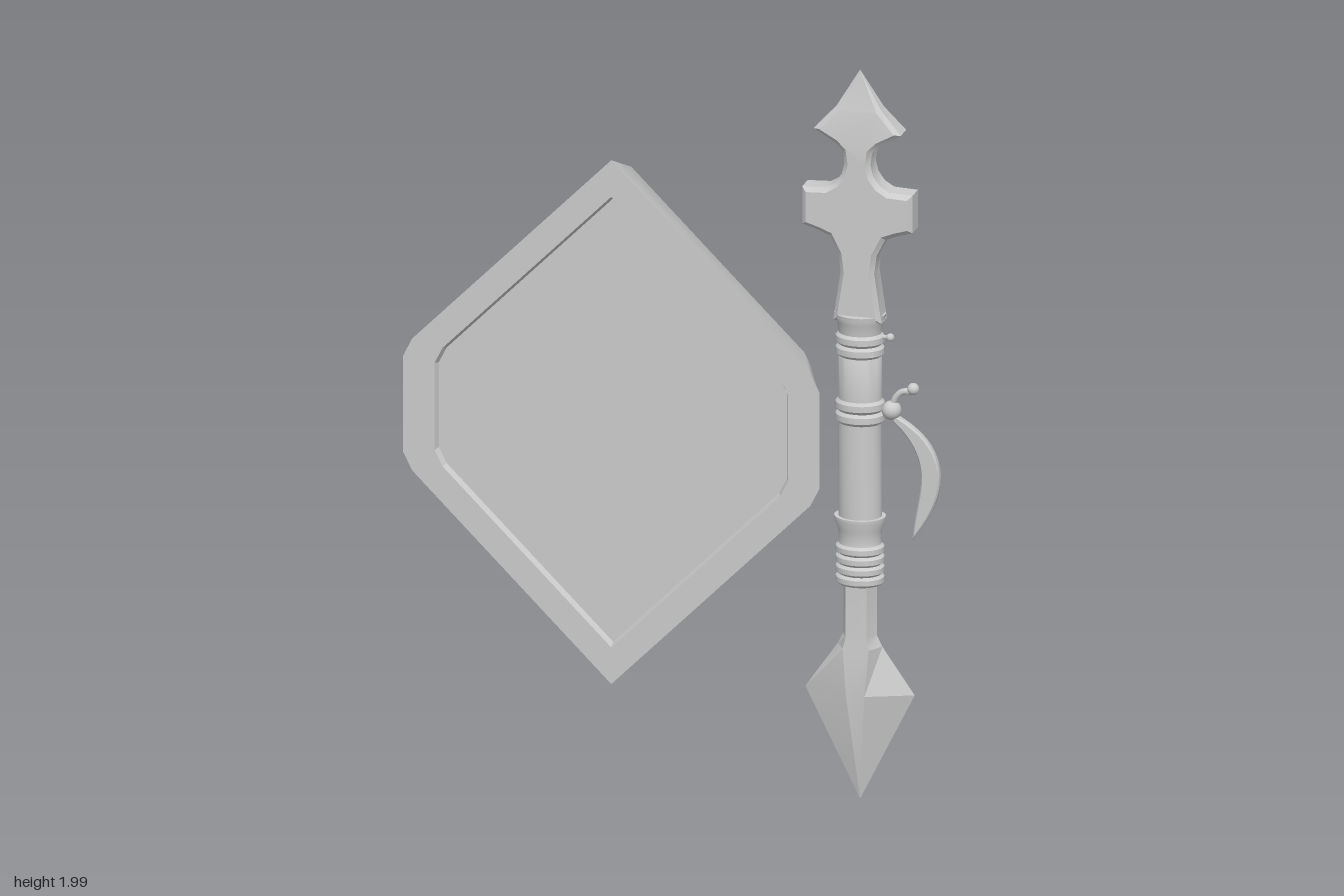
import * as THREE from 'three';
import { toCreasedNormals } from 'three/addons/utils/BufferGeometryUtils.js';

const material = new THREE.MeshStandardMaterial({ color: 0xcccccc });

function addMesh(parent, name, geometry, x = 0, y = 0, z = 0) {
  const mesh = new THREE.Mesh(geometry, material);
  mesh.name = name;
  mesh.position.set(x, y, z);
  parent.add(mesh);
  return mesh;
}

// Skin a stack of closed rings that all have the same number of points
function loft(rings) {
  const n = rings[0].length, index = [];
  for (let i = 0; i < rings.length - 1; i++) {
    for (let j = 0; j < n; j++) {
      const a = i * n + j, b = i * n + (j + 1) % n;
      index.push(a, b, b + n, a, b + n, a + n);
    }
  }
  const geometry = new THREE.BufferGeometry();
  geometry.setAttribute('position', new THREE.Float32BufferAttribute(rings.flat(2), 3));
  geometry.setIndex(index);
  geometry.computeVertexNormals();
  return geometry;
}

// Diamond with clipped sides: half width w, half height h
function diamondRing([w, h, z]) {
  const e = w * 0.045, c = h - w;
  const quarter = [[w, c - e], [w - e, c + e]];
  return [
    [0, h], ...quarter.slice().reverse().map(([x, y]) => [-x, y]),
    ...quarter.map(([x, y]) => [-x, -y]),
    [0, -h], ...quarter.slice().reverse().map(([x, y]) => [x, -y]),
    ...quarter,
  ].map(([x, y]) => [x, y, z]);
}

function createShield() {
  const shield = new THREE.Group();
  shield.name = 'shield';
  shield.position.set(-0.157, 1, 0);
  // Faceted dome, from its rear point to the front rim
  const dome = [[0, 0, -0.295], [0.05, 0.058, -0.285], [0.34, 0.445, -0.13],
    [0.488, 0.635, 0.1], [0.56, 0.715, 0.293]];
  addMesh(shield, 'shieldDome', loft(dome.map(diamondRing)));
  // Flat rim around a shallow sunken panel
  const front = [[0.56, 0.715, 0.293], [0.475, 0.615, 0.293],
    [0.468, 0.605, 0.275], [0, 0, 0.275]];
  addMesh(shield, 'shieldFront', toCreasedNormals(loft(front.map(diamondRing)), 0.2));
  return shield;
}

// Flat cross-shaped head with a barbed point
function headGeometry() {
  const bevel = 0.012, half = 0.038;
  const side = [[0.065, 1.32], [0.045, 1.455], [0.052, 1.505], [0.075, 1.55], [0.105, 1.562],
    [0.148, 1.575], [0.148, 1.677], [0.085, 1.68], [0.06, 1.695], [0.042, 1.72],
    [0.035, 1.75], [0.04, 1.785], [0.06, 1.805], [0.117, 1.838], [0.06, 1.9]];
  const outline = [...side, [0, 2], ...side.slice().reverse().map(([x, y]) => [-x, y])];
  const shape = new THREE.Shape(outline.map(([x, y]) => new THREE.Vector2(x, y)));
  const geometry = new THREE.ExtrudeGeometry(shape, {
    depth: 2 * (half - bevel), bevelEnabled: true, bevelSize: bevel,
    bevelOffset: -bevel, bevelThickness: bevel, bevelSegments: 1,
  });
  geometry.translate(0, 0, bevel - half);
  // Thin the barbed point towards its tip
  const p = geometry.attributes.position;
  for (let i = 0; i < p.count; i++) {
    const t = THREE.MathUtils.clamp((2 - p.getY(i)) / 0.165, 0.05, 1);
    p.setZ(i, p.getZ(i) * t);
  }
  geometry.deleteAttribute('uv');
  return toCreasedNormals(geometry, 0.5);
}

// Rounded bands stacked on the handle between two heights
function bandProfile(low, high, count, radius) {
  const points = [], step = (high - low) / count;
  for (let i = 0; i < count; i++) {
    const y = low + i * step;
    points.push([radius - 0.008, y], [radius, y + step * 0.25],
      [radius, y + step * 0.75], [radius - 0.008, y + step]);
  }
  return points;
}

function handleGeometry() {
  const profile = [
    [0.03, 0.6], ...bandProfile(0.6, 0.71, 4, 0.064),
    [0.055, 0.715], [0.058, 0.75], [0.068, 0.775], [0.068, 0.785], [0.057, 0.785],
    ...bandProfile(1.04, 1.105, 2, 0.064).map(([r, y]) => [r + 0.001, y]),
    [0.057, 1.105], [0.057, 1.22],
    ...bandProfile(1.222, 1.285, 2, 0.064),
    [0.057, 1.29], [0.06, 1.315], [0.068, 1.33], [0.068, 1.338], [0.03, 1.338],
  ];
  const geometry = new THREE.LatheGeometry(profile.map(([r, y]) => new THREE.Vector2(r, y)), 24);
  geometry.scale(1, 1, 0.85);
  geometry.deleteAttribute('uv');
  return toCreasedNormals(geometry, 0.6);
}

// Six-sided lower shaft swelling into a spear point
function spearGeometry() {
  const sections = [[0, 0, 0, 0.01], [0.147, 0.025, 0.048, 0.305], [0.06, 0.035, 0.042, 0.43],
    [0.045, 0.028, 0.04, 0.46], [0.045, 0.028, 0.04, 0.62]];
  const rings = sections.map(([w, f, t, y]) => [[w, y, 0], [f, y, -t], [-f, y, -t],
    [-w, y, 0], [-f, y, t], [f, y, t]]);
  return toCreasedNormals(loft(rings), 0.3);
}

// Curved tapering streamer
function streamerGeometry() {
  const shape = new THREE.Shape();
  shape.moveTo(0.09, 1.07);
  shape.bezierCurveTo(0.16, 1.035, 0.21, 0.99, 0.216, 0.91);
  shape.bezierCurveTo(0.218, 0.84, 0.18, 0.78, 0.143, 0.73);
  shape.bezierCurveTo(0.145, 0.79, 0.172, 0.87, 0.165, 0.92);
  shape.bezierCurveTo(0.158, 0.98, 0.125, 1.02, 0.09, 1.05);
  const geometry = new THREE.ExtrudeGeometry(shape, {
    depth: 0.014, bevelEnabled: true, bevelSize: 0.004, bevelOffset: -0.004,
    bevelThickness: 0.005, bevelSegments: 1, curveSegments: 10,
  });
  geometry.translate(0, 0, -0.007);
  geometry.deleteAttribute('uv');
  return toCreasedNormals(geometry, 0.6);
}

function createWeapon() {
  const weapon = new THREE.Group();
  weapon.name = 'scepter';
  weapon.position.set(0.493, 0, 0.227);
  addMesh(weapon, 'head', headGeometry());
  addMesh(weapon, 'handle', handleGeometry());
  addMesh(weapon, 'spearPoint', spearGeometry());
  // Knot with a small curled stem and its streamer
  const ball = (r) => new THREE.SphereGeometry(r, 14, 10);
  addMesh(weapon, 'knot', ball(0.026), 0.085, 1.078);
  const stem = new THREE.CatmullRomCurve3([[0.085, 1.085], [0.097, 1.115], [0.115, 1.131], [0.143, 1.133]]
    .map(([x, y]) => new THREE.Vector3(x, y, 0)));
  addMesh(weapon, 'stem', new THREE.TubeGeometry(stem, 12, 0.009, 8));
  addMesh(weapon, 'stemKnob', ball(0.016), 0.143, 1.141);
  addMesh(weapon, 'streamer', streamerGeometry());
  // Stud beside the upper bands
  const pin = new THREE.CylinderGeometry(0.006, 0.006, 0.03, 8).rotateZ(Math.PI / 2);
  addMesh(weapon, 'studPin', pin, 0.066, 1.276);
  addMesh(weapon, 'stud', ball(0.011), 0.081, 1.276);
  return weapon;
}

export function createModel() {
  const model = new THREE.Group();
  model.name = 'shieldAndScepter';
  model.add(createShield(), createWeapon());
  return model;
}
